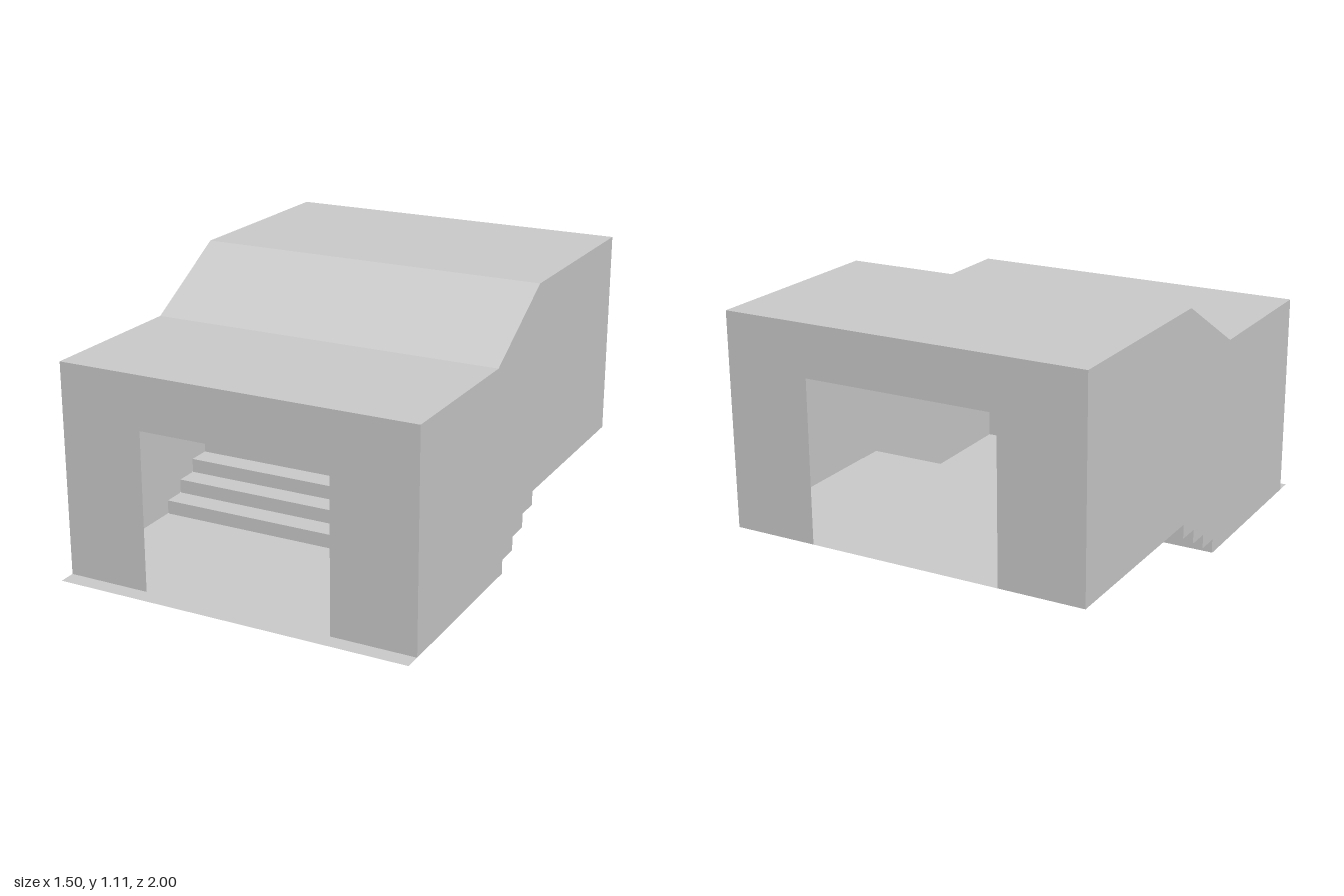
import * as THREE from 'three';

const HALF_W = 0.75, FRONT = 0.93, BACK = -1;
const LOW_ROOF = 0.88, HIGH_ROOF = 1.11, UPPER_FLOOR = 0.24;
const STEPS = 4, STEP_Z = 0.25, TREAD = 0.101, RISE = UPPER_FLOOR / STEPS;

export function createModel() {
  const model = new THREE.Group();
  const material = new THREE.MeshStandardMaterial({
    color: 0xcccccc, flatShading: true, side: THREE.DoubleSide,
  });

  const add = (name, geometry, x = 0, y = 0, z = 0) => {
    const mesh = new THREE.Mesh(geometry, material);
    mesh.name = name;
    mesh.position.set(x, y, z);
    model.add(mesh);
  };
  const outline = (points) => new THREE.ShapeGeometry(
    new THREE.Shape(points.map(([a, b]) => new THREE.Vector2(a, b))));

  // Thin full-width panel between two (z, y) points
  const panel = (name, [z0, y0], [z1, y1]) => {
    const geometry = new THREE.PlaneGeometry(2 * HALF_W, Math.hypot(z1 - z0, y1 - y0));
    geometry.rotateX(-Math.PI / 2);
    geometry.rotateX(Math.atan2(y1 - y0, z0 - z1));
    add(name, geometry, 0, (y0 + y1) / 2, (z0 + z1) / 2);
  };

  // End wall with a doorway open down to its floor
  const endWall = (name, base, top, z) => {
    const door = 0.4, lintel = base + 0.66;
    add(name, outline([
      [-HALF_W, base], [-door, base], [-door, lintel], [door, lintel],
      [door, base], [HALF_W, base], [HALF_W, top], [-HALF_W, top],
    ]), 0, 0, z);
  };
  endWall('frontWall', 0, LOW_ROOF, FRONT);
  endWall('backWall', UPPER_FLOOR, HIGH_ROOF, BACK);

  // Roof: low part, slope, high part
  panel('lowRoof', [FRONT, LOW_ROOF], [0.25, LOW_ROOF]);
  panel('roofSlope', [0.25, LOW_ROOF], [-0.15, HIGH_ROOF]);
  panel('highRoof', [-0.15, HIGH_ROOF], [BACK, HIGH_ROOF]);

  // Floors, the lower one running out past the doorway
  const stairEnd = STEP_Z - STEPS * TREAD;
  panel('lowerFloor', [1, 0], [STEP_Z, 0]);
  panel('upperFloor', [stairEnd, UPPER_FLOOR], [BACK, UPPER_FLOOR]);

  // Stairs: a row of blocks, each behind and above the last
  for (let i = 0; i < STEPS; i++) {
    add('step' + (i + 1), new THREE.BoxGeometry(2 * HALF_W - 0.004, RISE, TREAD),
      0, (i + 0.5) * RISE, STEP_Z - (i + 0.5) * TREAD);
  }

  // Side walls follow the underside of the stairs
  const profile = [[FRONT, LOW_ROOF], [FRONT, 0]];
  for (let i = 0; i < STEPS; i++) {
    const z = STEP_Z - (i + 1) * TREAD;
    profile.push([z, i * RISE], [z, (i + 1) * RISE]);
  }
  profile.push([BACK, UPPER_FLOOR], [BACK, HIGH_ROOF], [-0.15, HIGH_ROOF], [0.25, LOW_ROOF]);
  for (const side of [-1, 1]) {
    add(side > 0 ? 'leftWall' : 'rightWall',
      outline(profile).rotateY(-Math.PI / 2), side * HALF_W);
  }
  return model;
}
